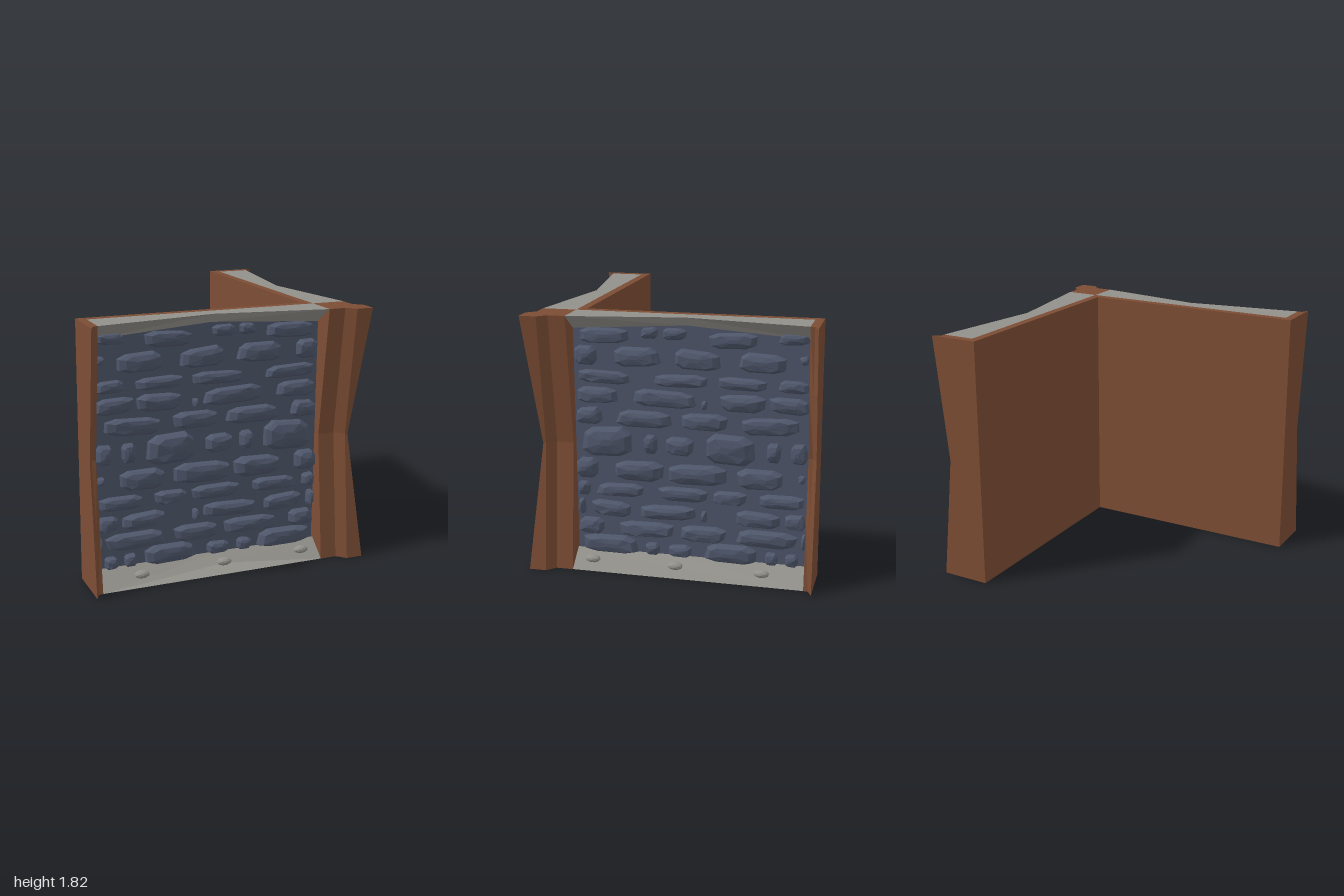
import * as THREE from 'three';
import { mergeGeometries } from 'three/addons/utils/BufferGeometryUtils.js';

const H = 1.82, PANEL = 0.70, WALL = 0.78;

function makeRandom(seed) {
  return () => {
    seed = (seed * 16807) % 2147483647;
    return seed / 2147483647;
  };
}

// Flat-shaded geometry from a flat list of triangle corners
function fromCorners(corners) {
  const g = new THREE.BufferGeometry();
  g.setAttribute('position', new THREE.Float32BufferAttribute(corners.flat(), 3));
  g.computeVertexNormals();
  return g;
}

// Skin a stack of equal-length rings and close both ends with fans
function loft(rings) {
  const out = [], n = rings[0].length;
  for (let k = 0; k + 1 < rings.length; k++) {
    const a = rings[k], b = rings[k + 1];
    for (let i = 0; i < n; i++) {
      const j = (i + 1) % n;
      out.push(a[i], a[j], b[j], a[i], b[j], b[i]);
    }
  }
  const lo = rings[0], hi = rings[rings.length - 1];
  for (let i = 1; i + 1 < n; i++) out.push(hi[0], hi[i], hi[i + 1], lo[0], lo[i + 1], lo[i]);
  return fromCorners(out);
}

// Triangles between two open rails of points
function strip(a, b) {
  const out = [];
  for (let i = 0; i + 1 < a.length; i++) out.push(a[i], a[i + 1], b[i + 1], a[i], b[i + 1], b[i]);
  return fromCorners(out);
}

function box(x0, x1, y0, y1, z0, z1) {
  return new THREE.BoxGeometry(x1 - x0, y1 - y0, z1 - z0).toNonIndexed()
    .translate((x0 + x1) / 2, (y0 + y1) / 2, (z0 + z1) / 2);
}

// Swap x and z, reversing each triangle so it still faces outward
function swapXZ(geometry) {
  const p = geometry.attributes.position, out = [];
  for (let i = 0; i < p.count; i += 3) {
    for (const k of [i, i + 2, i + 1]) out.push([p.getZ(k), p.getY(k), p.getX(k)]);
  }
  return fromCorners(out);
}

// Irregular faceted stone standing out of the wall
function stone(x0, x1, y, h, rnd) {
  const cx = (x0 + x1) / 2, w = (x1 - x0) / 2, n = 8;
  const depth = Math.min(0.095, 0.04 + h * 0.3);
  const tilt = (rnd() - 0.5) * 0.1;
  const outline = [];
  for (let i = 0; i < n; i++) {
    const t = (i + 0.5) / n * Math.PI * 2, c = Math.cos(t), s = Math.sin(t);
    const r = 0.9 + rnd() * 0.16;
    outline.push([Math.sign(c) * Math.abs(c) ** 0.55 * w * r, Math.sign(s) * Math.abs(s) ** 0.6 * h / 2 * r]);
  }
  const ox = (rnd() - 0.5) * w * 0.4, oy = h * 0.06;
  const levels = [[1, 0, 0], [0.96, 0.5, 0.15], [0.76, 0.85, 0.6], [0.22, 1, 1]];
  return loft(levels.map(([scale, z, shift]) => outline.map(([px, py]) => [
    cx + px * scale + ox * shift,
    y + py * scale + oy * shift + px * scale * tilt,
    WALL - 0.005 + depth * z * (z > 0 && z < 1 ? 0.88 + rnd() * 0.2 : 1),
  ])));
}

function stoneCourses() {
  const rnd = makeRandom(4711), list = [];
  const row = (y, h, ...spans) => {
    for (let i = 0; i < spans.length; i += 2) list.push(stone(spans[i], spans[i + 1], y, h, rnd));
  };
  row(1.67, 0.11, -0.58, -0.24, 0.30, 0.66);
  row(1.70, 0.08, -0.92, -0.72, -0.10, 0.07, 0.10, 0.22);
  row(1.56, 0.06, -0.92, -0.86);
  row(1.53, 0.14, -0.78, -0.45, -0.33, 0.00, 0.08, 0.42, 0.53, 0.69);
  row(1.38, 0.09, -0.93, -0.72, -0.66, -0.31, -0.24, 0.15, 0.29, 0.69);
  row(1.25, 0.12, -0.93, -0.66, -0.64, -0.32, -0.16, 0.30, 0.39, 0.69);
  row(1.22, 0.06, -0.24, -0.20);
  row(1.10, 0.12, -0.88, -0.46, -0.38, -0.06, 0.00, 0.40, 0.50, 0.69);
  row(0.92, 0.22, -0.58, -0.22, 0.29, 0.66);
  row(0.92, 0.14, -0.93, -0.81, -0.75, -0.65, -0.15, 0.05, 0.11, 0.20);
  row(0.74, 0.06, -0.92, -0.87);
  row(0.72, 0.15, -0.78, -0.44, -0.38, 0.03, 0.06, 0.42, 0.54, 0.69);
  row(0.57, 0.10, -0.91, -0.59, -0.52, -0.27, -0.25, 0.11, 0.20, 0.56, 0.60, 0.69);
  row(0.43, 0.11, -0.93, -0.78, -0.76, -0.45, -0.16, 0.24, 0.30, 0.60, 0.64, 0.69);
  row(0.42, 0.08, -0.24, -0.20);
  row(0.29, 0.12, -0.93, -0.90, -0.88, -0.44, -0.38, -0.05, 0.00, 0.40, 0.50, 0.69);
  row(0.16, 0.14, -0.60, -0.22, 0.26, 0.66);
  row(0.15, 0.09, -0.88, -0.79, -0.74, -0.65, -0.13, 0.04, 0.10, 0.20);
  return mergeGeometries(list);
}

// Every part of the wing along x, facing +z
function wingParts(mat) {
  const parts = [];
  const add = (name, geometry, material) => parts.push({ name, geometry, material });

  add('backPanel', box(-1, PANEL, 0, H, 0.64, PANEL), mat.wood);
  add('mortarWall', box(-0.94, PANEL, 0.10, 1.78, PANEL, WALL), mat.slate);
  add('wallStones', stoneCourses(), mat.slate);

  // End post: bevelled front edge, waisted at mid height, with shallow splits
  const levels = [[0, 0, 0.03], [0.45, 0.05, 0], [0.91, 0.1, 0.03], [1.37, 0.05, 0], [H, 0, 0.03]];
  add('endPost', loft(levels.map(([y, inset, split]) => [
    [-1, y, 0.64], [-1, y, 1 - inset], [-0.97, y, 0.97 - inset - split],
    [-0.94, y, 0.94 - inset], [-0.94, y, 0.64],
  ])), mat.wood);

  // Top trim: flat cap and an overhanging bevel, both receding near the middle
  const capFront = [[-0.94, H, 0.94], [-0.1, H, 0.815], [PANEL, H, 0.94]];
  const capBack = capFront.map(([x]) => [x, H, PANEL]);
  const capLow = [[-0.94, 1.70, WALL], [-0.1, 1.76, WALL], [PANEL, 1.71, WALL]];
  add('topCap', strip(capFront, capBack), mat.trim);
  add('topBevel', strip(capLow, capFront), mat.trim);

  // Bottom trim: flat plate and a sloped sill arched along its lower edge
  const sillLow = [[-0.94, 0.002, 0.94], [-0.03, 0.06, 0.88], [PANEL, 0.002, 0.94]];
  const sillHigh = sillLow.map(([x]) => [x, 0.12, WALL + 0.02]);
  const plate = [-0.94, PANEL];
  add('sillSlope', strip(sillLow, sillHigh), mat.trim);
  add('sillPlate', strip(plate.map(x => [x, 0.001, 0.94]), plate.map(x => [x, 0.001, PANEL])), mat.trim);

  // Studs on the sill
  for (const x of [-0.64, -0.03, 0.57]) {
    const g = new THREE.IcosahedronGeometry(1, 1).scale(0.055, 0.028, 0.035).translate(x, 0.068, 0.872);
    g.computeVertexNormals();
    add('sillStud', g, mat.trim);
  }
  return parts;
}

export function createModel() {
  const mat = {
    wood: new THREE.MeshStandardMaterial({ color: 0x7c4d34 }),
    trim: new THREE.MeshStandardMaterial({ color: 0x92908a, side: THREE.DoubleSide }),
    slate: new THREE.MeshStandardMaterial({ color: 0x4e566a }),
  };
  mat.wood.name = 'brown wood';
  mat.trim.name = 'grey trim';
  mat.slate.name = 'blue slate';

  const model = new THREE.Group();
  model.name = 'cornerWall';
  const frontWing = new THREE.Group(), sideWing = new THREE.Group();
  frontWing.name = 'frontWing';
  sideWing.name = 'sideWing';
  for (const { name, geometry, material } of wingParts(mat)) {
    const a = new THREE.Mesh(geometry, material);
    const b = new THREE.Mesh(swapXZ(geometry), material);
    a.name = b.name = name;
    frontWing.add(a);
    sideWing.add(b);
  }

  // Corner post with a chamfered outer block, waisted at mid height
  const ring = (y, d) => [
    [0.7, 0.7], [0.7, 0.94 - d], [0.82, 0.94 - d], [0.88, 1 - d],
    [1 - d, 1 - d], [1 - d, 0.88], [0.94 - d, 0.82], [0.94 - d, 0.7],
  ].map(([x, z]) => [x, y, z]);
  const cornerPost = new THREE.Mesh(loft([ring(0, 0), ring(0.91, 0.1), ring(H, 0)]), mat.wood);
  cornerPost.name = 'cornerPost';

  model.add(frontWing, sideWing, cornerPost);
  return model;
}
